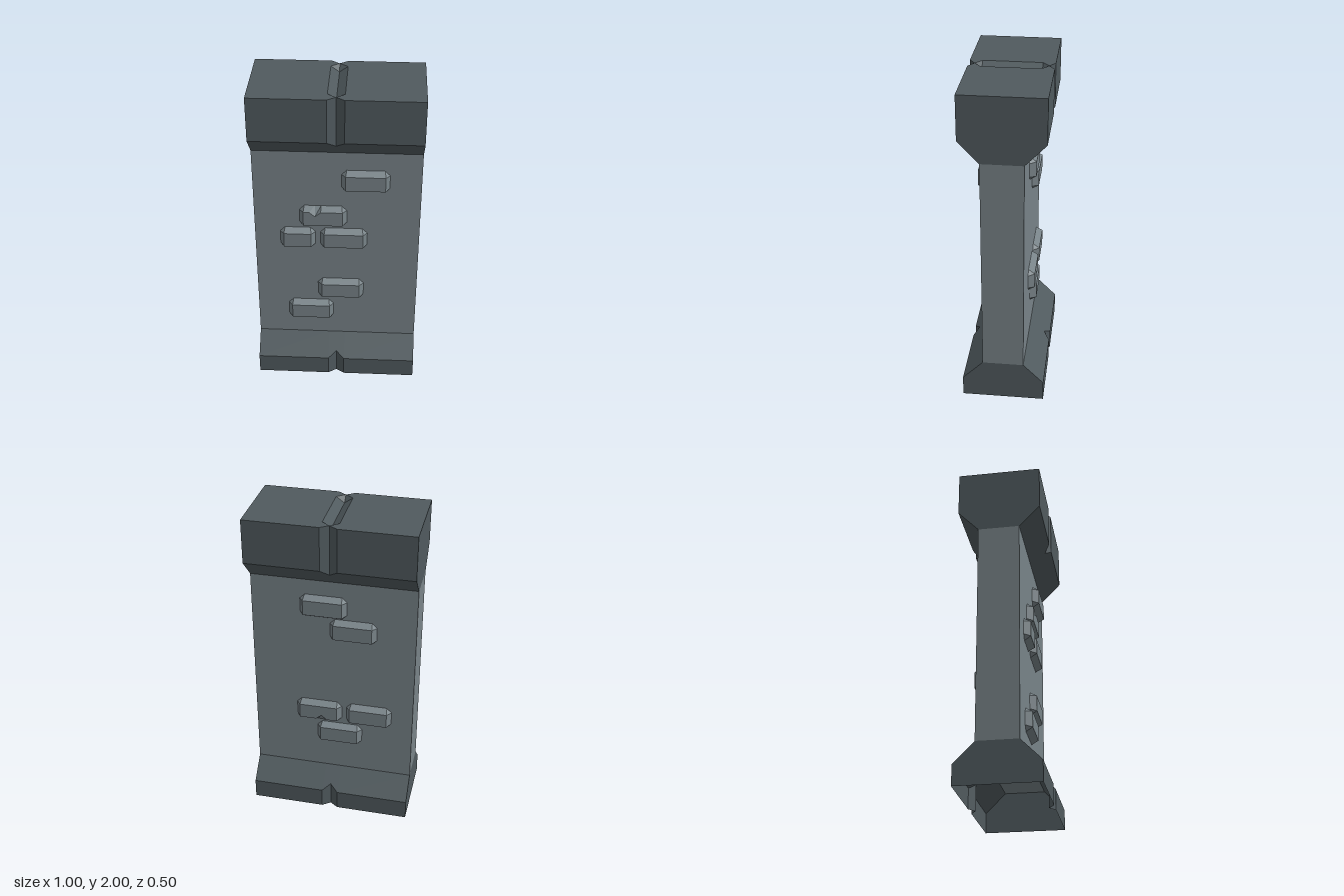
import * as THREE from 'three';

const wallMat = new THREE.MeshStandardMaterial({ color: 0x788388 });
wallMat.name = 'wall grey';
const trimMat = new THREE.MeshStandardMaterial({ color: 0x505a5e, side: THREE.DoubleSide });
trimMat.name = 'dark trim grey';

const NECK_Z = 0.125, TRIM_Z = 0.25, NOTCH_W = 0.05, NOTCH_D = 0.035;

function mesh(geometry, material, name) {
  const m = new THREE.Mesh(geometry, material);
  m.name = name;
  return m;
}

// Flat-faced geometry from a list of triangle corner points
function fromPoints(points) {
  const g = new THREE.BufferGeometry();
  g.setAttribute('position', new THREE.Float32BufferAttribute(points.flat(), 3));
  g.computeVertexNormals();
  return g;
}

// Skin between closed rings; each ring runs counter-clockwise about the loft direction
function loft(rings) {
  const out = [];
  for (let r = 0; r + 1 < rings.length; r++) {
    const lo = rings[r], hi = rings[r + 1], n = lo.length;
    for (let i = 0; i < n; i++) {
      const j = (i + 1) % n;
      out.push(lo[i], lo[j], hi[j], lo[i], hi[j], hi[i]);
    }
  }
  return out;
}

// Plan outline of a trim block: notch shifts the middle point inwards and by tipY
function planRing(y, z, notch, tipY = 0) {
  const side = (s) => [
    [0.5 * s, y, z * s], [NOTCH_W * s, y, z * s],
    [0, y + tipY, (z - notch) * s],
    [-NOTCH_W * s, y, z * s], [-0.5 * s, y, z * s],
  ];
  // front runs +x to -x, so reverse it to circle counter-clockwise
  return [...side(1).reverse(), ...side(-1).reverse()];
}

function trimRings(yEnd, yMid, yNeck) {
  const tip = (yNeck - yMid) * NOTCH_D / (TRIM_Z - NECK_Z);
  const rings = [
    planRing(yEnd, TRIM_Z, NOTCH_D),
    planRing(yMid, TRIM_Z, NOTCH_D, tip),
    planRing(yNeck, NECK_Z, 0),
  ];
  return yEnd > yNeck ? rings.reverse() : rings;
}

// Top of the cap: two halves around a pointed groove
function makeCapTop() {
  const g = new THREE.Group();
  g.name = 'capTop';
  const zi = TRIM_Z - 2 * NOTCH_D - 0.005, zt = TRIM_Z - NOTCH_D, depth = 0.035;
  for (const s of [1, -1]) {
    const outline = [
      [0.5, TRIM_Z], [NOTCH_W, TRIM_Z], [0, zt], [NOTCH_W, zi],
      [NOTCH_W, -zi], [0, -zt], [NOTCH_W, -TRIM_Z], [0.5, -TRIM_Z],
    ].map(([x, z]) => new THREE.Vector2(x * s, z));
    const half = mesh(new THREE.ShapeGeometry(new THREE.Shape(outline)), trimMat, 'capTopHalf');
    half.rotation.x = -Math.PI / 2;
    half.position.y = 2;
    g.add(half);

    const a = [NOTCH_W * s, 2, zi], b = [NOTCH_W * s, 2, -zi];
    const c = [0, 2 - depth, zi], d = [0, 2 - depth, -zi];
    const tris = [[a, b, d], [a, d, c], [a, c, [0, 2, zt]], [b, [0, 2, -zt], d]];
    const pts = tris.flatMap((t) => (s > 0 ? t : [t[0], t[2], t[1]]));
    g.add(mesh(fromPoints(pts), trimMat, 'capGrooveSide'));
  }
  return g;
}

// Raised stone: chamfered outline at the wall, bevelled to a smaller flat face.
// chip is the x position of an optional nick in the top edge.
function brickGeometry(width, height, chip = null) {
  const w = width / 2, h = height / 2, c = 0.03, inset = 0.025, depth = 0.04;
  const fw = w - inset, fh = h - inset;
  const base = [], face = [];
  const add = (bx, by, fx, fy) => { base.push([bx, by, 0]); face.push([fx, fy, depth]); };
  add(-w + c, -h, -fw, -fh);
  add(w - c, -h, fw, -fh);
  add(w, -h + c, fw, -fh);
  add(w, h - c, fw, fh);
  add(w - c, h, fw, fh);
  if (chip !== null) {
    add(chip + 0.035, h, chip + 0.035, fh);
    add(chip, h, chip, fh - 0.03);
    add(chip - 0.035, h, chip - 0.035, fh);
  }
  add(-w + c, h, -fw, fh);
  add(-w, h - c, -fw, fh);
  add(-w, -h + c, -fw, -fh);
  const pts = loft([base, face]);
  // flat front, without the doubled corner points
  const flat = face.filter((p, i) => {
    const q = face[(i + 1) % face.length];
    return p[0] !== q[0] || p[1] !== q[1];
  });
  const contour = flat.map(([x, y]) => new THREE.Vector2(x, y));
  for (const t of THREE.ShapeUtils.triangulateShape(contour, [])) pts.push(...t.map((i) => flat[i]));
  return fromPoints(pts);
}

// Stones on one face: [centre x, centre y, width, chip x, turned upside down]
function makeBricks(name, list) {
  const g = new THREE.Group();
  g.name = name;
  for (const [x, y, width, chip = null, flip = false] of list) {
    const b = mesh(brickGeometry(width, 0.145, chip), wallMat, 'brick');
    b.position.set(x, y, NECK_Z);
    if (flip) b.rotation.z = Math.PI;
    g.add(b);
  }
  return g;
}

export function createModel() {
  const model = new THREE.Group();
  model.name = 'stoneWallSegment';

  // Wall slab
  const wall = mesh(new THREE.BoxGeometry(1, 1.35, NECK_Z * 2), wallMat, 'wall');
  wall.position.y = 0.925;
  model.add(wall);

  // Flared base, open underneath, and flared cap
  model.add(mesh(fromPoints(loft(trimRings(0, 0.125, 0.25))), trimMat, 'base'));
  model.add(mesh(fromPoints(loft(trimRings(2, 1.73, 1.6))), trimMat, 'cap'));
  model.add(makeCapTop());

  // Raised stones on both faces
  model.add(makeBricks('frontBricks', [
    [0.17, 1.41, 0.285],
    [-0.083, 1.158, 0.285, -0.047],
    [-0.238, 0.998, 0.215],
    [0.042, 0.998, 0.285],
    [0.024, 0.615, 0.285],
    [-0.164, 0.443, 0.285],
  ]));
  const back = makeBricks('backBricks', [
    [-0.06, 1.43, 0.285],
    [0.122, 1.28, 0.285],
    [-0.09, 0.682, 0.285, -0.02, true],
    [0.225, 0.682, 0.285],
    [0.04, 0.522, 0.285],
  ]);
  back.rotation.y = Math.PI;
  model.add(back);

  return model;
}
